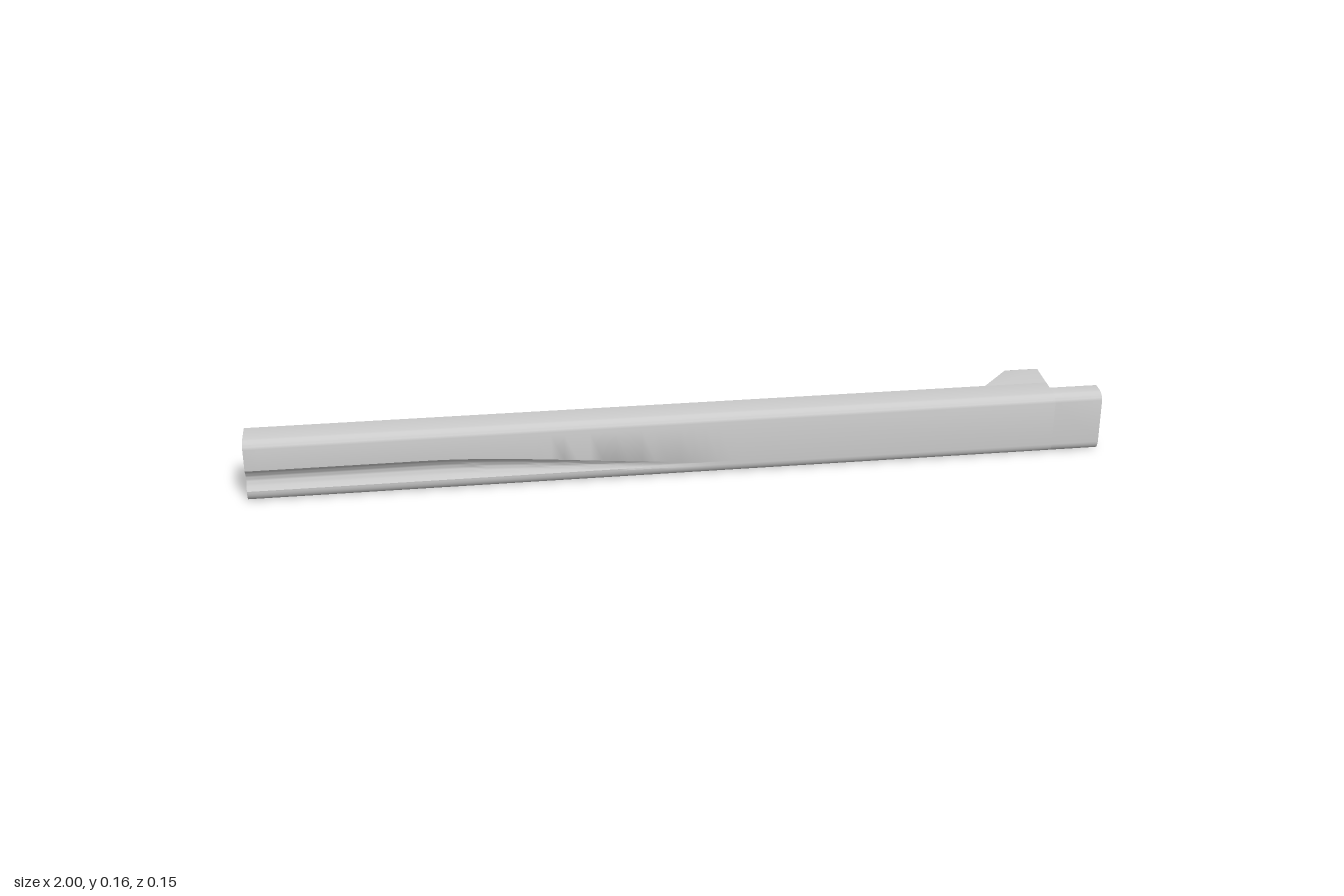
import * as THREE from 'three';
import { toCreasedNormals } from 'three/addons/utils/BufferGeometryUtils.js';

const mat = new THREE.MeshStandardMaterial({ color: 0xcccccc });
const topY = z => 0.147 + (0.055 - z) * 0.085; // gently sloping top
const lerp = THREE.MathUtils.lerp;

function addMesh(group, name, geometry) {
  const mesh = new THREE.Mesh(toCreasedNormals(geometry, 0.5), mat);
  mesh.name = name;
  group.add(mesh);
}

// Quarter-round corner from p towards q, bulging at corner c
function corner(p, c, q, steps = 6) {
  return new THREE.QuadraticBezierCurve(
    new THREE.Vector2(...p), new THREE.Vector2(...c), new THREE.Vector2(...q)).getPoints(steps);
}

// Section in (z, y): bottom, front, top, back
function armSection(x, back) {
  const fade = 1 - THREE.MathUtils.smoothstep(x, -0.6, 0.12);
  const depth = 0.013 * fade;
  const high = lerp(0.032, 0.077, fade), low = 0.026;
  const front = [], rear = [];
  for (let i = 0; i <= 10; i++) {
    const t = i / 10, y = lerp(low, high, t), d = depth * Math.sin(Math.PI * t);
    front.push(new THREE.Vector2(0.076 - d, y));
    rear.unshift(new THREE.Vector2(back + d * 0.8, y));
  }
  const b = 0.004;
  return [
    ...corner([0.054, 0], [0.074, 0], [0.076, 0.022]),
    ...front,
    ...corner([0.076, 0.122], [0.076, 0.144], [0.054, topY(0.054)]),
    ...corner([back + b, topY(back + b)], [back, topY(back)], [back, topY(back) - b], 3),
    ...rear,
    ...corner([back, b], [back, 0], [back + b, 0], 3)
  ];
}

// Skin a row of sections along x and cap both ends
function loft(xs, back) {
  const rows = xs.map(x => armSection(x, back));
  const n = rows[0].length, pos = [], idx = [];
  rows.forEach((row, r) => row.forEach(p => pos.push(xs[r], p.y, p.x)));
  for (let r = 0; r < rows.length - 1; r++) {
    for (let i = 0; i < n; i++) {
      const a = r * n + i, b = r * n + (i + 1) % n;
      idx.push(a, a + n, b, b, a + n, b + n);
    }
  }
  const last = (rows.length - 1) * n;
  for (const [a, b, c] of THREE.ShapeUtils.triangulateShape(rows[0], [])) idx.push(a, b, c);
  for (const [a, b, c] of THREE.ShapeUtils.triangulateShape(rows[rows.length - 1], []))
    idx.push(last + a, last + c, last + b);
  const g = new THREE.BufferGeometry();
  g.setAttribute('position', new THREE.Float32BufferAttribute(pos, 3));
  g.setIndex(idx);
  return g;
}

export function createModel() {
  const group = new THREE.Group();
  group.name = 'hingeArm';

  // Long arm, its lower sides hollowing towards the free end
  const xs = [];
  for (let i = 0; i <= 40; i++) xs.push(lerp(-1, 0.2, i / 40));
  xs.push(0.885);
  addMesh(group, 'arm', loft(xs, 0));

  // Thin front plate running past the hinge
  addMesh(group, 'armTip', loft([0.885, 1], 0.027));

  // Hinge block behind the arm, with a slanted inner end
  const r = 0.011;
  const side = new THREE.Shape();
  side.moveTo(-0.03, 0.001);
  side.lineTo(0.076 - r, 0.001);
  side.quadraticCurveTo(0.076, 0.001, 0.076, r);
  side.lineTo(0.076, topY(-0.076) - r);
  side.quadraticCurveTo(0.076, topY(-0.076), 0.076 - r, topY(r - 0.076));
  side.lineTo(-0.03, topY(0.03) - 0.001);
  const block = new THREE.ExtrudeGeometry(side, { depth: 0.15, bevelEnabled: false, curveSegments: 6 });
  block.rotateY(Math.PI / 2).translate(0.735, 0, 0);
  const p = block.attributes.position;
  for (let i = 0; i < p.count; i++) {
    if (p.getX(i) < 0.8) p.setX(i, 0.735 - p.getZ(i));
  }
  addMesh(group, 'hingeBlock', block);

  // Knuckle with a pin hole, drawn in plan as (x, -z)
  const plan = new THREE.Shape();
  plan.moveTo(0.87, -0.03);
  plan.lineTo(0.99, -0.03);
  plan.lineTo(0.99, 0.031);
  plan.absarc(0.945, 0.031, 0.045, 0, Math.PI / 2, false);
  plan.lineTo(0.87, 0.076);
  const hole = new THREE.Path();
  hole.absarc(0.945, 0.031, 0.022, 0, Math.PI * 2, true);
  plan.holes.push(hole);
  const knuckle = new THREE.ExtrudeGeometry(plan, { depth: 0.05, bevelEnabled: false, curveSegments: 20 });
  knuckle.rotateX(-Math.PI / 2).translate(0, 0.05, 0);
  addMesh(group, 'hingeKnuckle', knuckle);

  return group;
}
